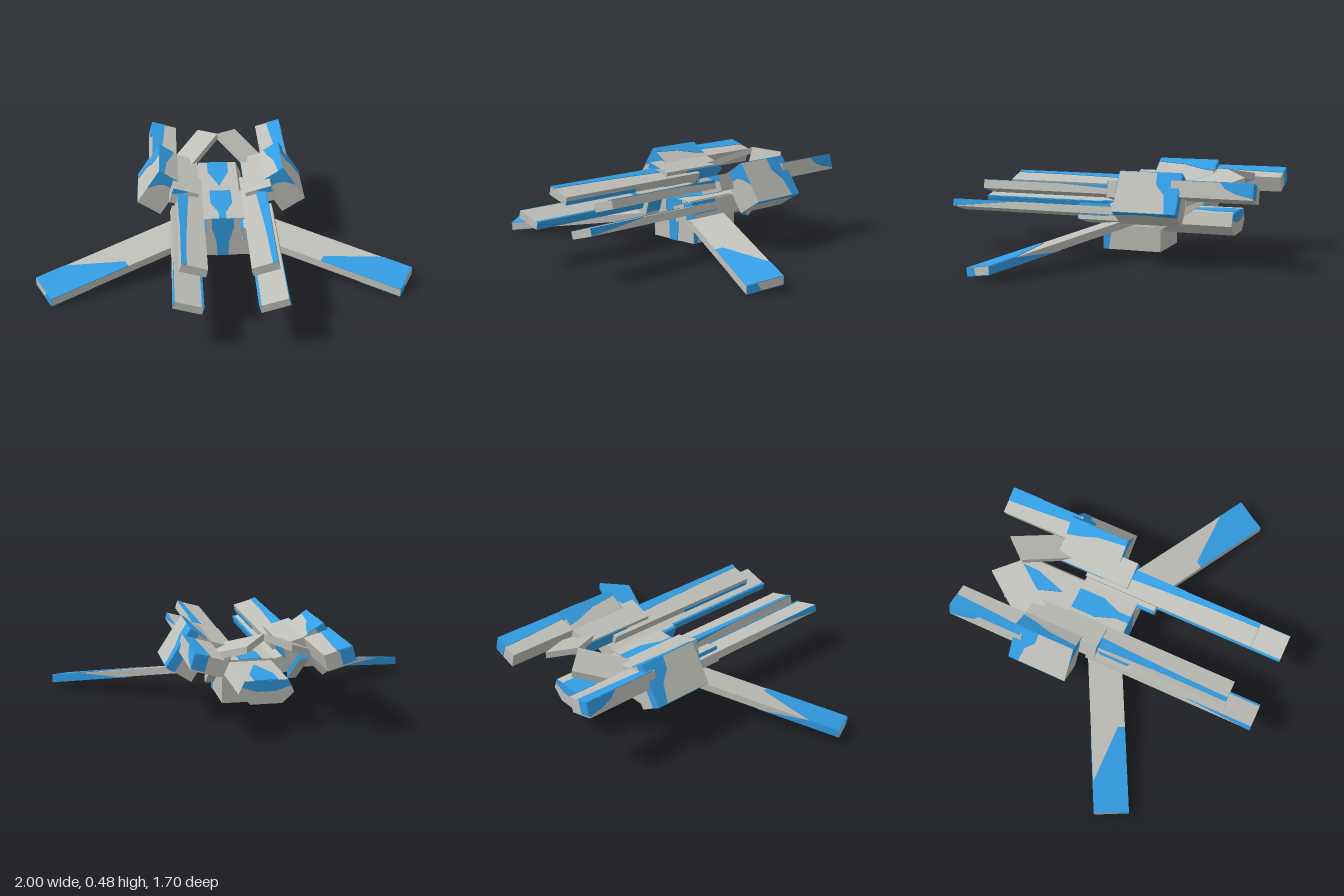
import * as THREE from 'three';

const grey = new THREE.MeshStandardMaterial({ color: 0xc0c0ba });
grey.name = 'hullGrey';
const blue = new THREE.MeshStandardMaterial({ color: 0x339ee4 });
blue.name = 'panelBlue';

// Mirrors a geometry across x and keeps its faces pointing outward.
function mirrored(geometry) {
  const g = geometry.clone().scale(-1, 1, 1);
  const p = g.attributes.position;
  const a = new THREE.Vector3(), b = new THREE.Vector3();
  for (let i = 0; i < p.count; i += 3) {
    a.fromBufferAttribute(p, i + 1);
    b.fromBufferAttribute(p, i + 2);
    p.setXYZ(i + 1, b.x, b.y, b.z);
    p.setXYZ(i + 2, a.x, a.y, a.z);
  }
  g.computeVertexNormals();
  return g;
}

function flat(geometry) {
  const g = geometry.index ? geometry.toNonIndexed() : geometry;
  g.computeVertexNormals();
  return g;
}

// Slab: polygon in (u, v) multiples from an origin, given thickness by vector n.
function slab(points, origin, u, v, n) {
  const [U, V, N] = [u, v, n].map((a) => new THREE.Vector3(...a));
  const swap = U.clone().cross(V).dot(N) < 0;
  const shape = new THREE.Shape(points.map(([a, b]) => (swap ? new THREE.Vector2(b, a) : new THREE.Vector2(a, b))));
  const g = new THREE.ExtrudeGeometry(shape, { depth: 1, bevelEnabled: false });
  const m = new THREE.Matrix4().makeBasis(swap ? V : U, swap ? U : V, N).setPosition(...origin);
  return flat(g.applyMatrix4(m));
}

const X = [1, 0, 0], Y = [0, 1, 0], Z = [0, 0, 1];
const skin = 0.003; // thickness of painted plates
const rect = (u0, u1, v0, v1) => [[u0, v0], [u1, v0], [u1, v1], [u0, v1]];

export function createModel() {
  const model = new THREE.Group();

  const add = (name, geometry, material) => {
    const mesh = new THREE.Mesh(geometry, material);
    mesh.name = name;
    model.add(mesh);
  };
  const pair = (name, geometry, material) => {
    add(name + 'Left', geometry, material);
    add(name + 'Right', mirrored(geometry), material);
  };

  // Long box rolled about z. Painted faces use -1..1 across the section and z along it.
  const bar = (name, [x, y], [w, h], [z0, z1], roll, paint) => {
    const place = (g) => g.rotateZ(roll).translate(x, y, 0);
    const box = new THREE.BoxGeometry(w, h, z1 - z0).translate(0, 0, (z0 + z1) / 2);
    pair(name, flat(place(box)), grey);
    const halfX = [w / 2, 0, 0], halfY = [0, h / 2, 0];
    const faces = {
      Top: [halfY, halfX, Z, [0, skin, 0]],
      Outer: [halfX, halfY, Z, [skin, 0, 0]],
      Inner: [[-w / 2, 0, 0], halfY, Z, [-skin, 0, 0]],
      Front: [[0, 0, z1], halfX, halfY, [0, 0, skin]],
      Back: [[0, 0, z0], halfX, halfY, [0, 0, -skin]],
    };
    for (const [face, points] of paint) {
      pair(`${name}${face}Paint`, flat(place(slab(points, ...faces[face]))), blue);
    }
  };

  // Central body and rear hull
  add('body', slab([[-0.15, 0.03], [0.15, 0.03], [0.15, 0.16], [0.12, 0.26], [-0.12, 0.26], [-0.15, 0.16]],
    [0, 0, -0.3], X, Y, [0, 0, 0.32]), grey);
  add('rearHull', slab([[-0.08, 0.13], [0.08, 0.13], [0.14, 0.185], [0.11, 0.25], [-0.11, 0.25], [-0.14, 0.185]],
    [0, 0, -0.68], X, Y, [0, 0, 0.38]), grey);

  // Painted body stripes
  add('noseStripe', slab([[-0.03, 0.03], [0.03, 0.03], [0.035, 0.12], [0.06, 0.2], [0.06, 0.26],
    [-0.06, 0.26], [-0.06, 0.2], [-0.035, 0.12]], [0, 0, 0.02], X, Y, [0, 0, skin]), blue);
  add('bodyTopStripe', slab([[-0.02, 0.02], [0.02, 0.02], [0.02, -0.05], [0.06, -0.16], [0.06, -0.3],
    [-0.06, -0.3], [-0.06, -0.16], [-0.02, -0.05]], [0, 0.26, 0], X, Z, [0, skin, 0]), blue);
  add('bodyBottomStripe', slab([[-0.04, 0.02], [0.04, 0.02], [0.03, -0.15], [0, -0.28], [-0.03, -0.15]],
    [0, 0.03, 0], X, Z, [0, -skin, 0]), blue);
  add('rearHullStripe', slab([[0, -0.38], [0.06, -0.56], [0.06, -0.68], [-0.06, -0.68], [-0.06, -0.56]],
    [0, 0.25, 0], X, Z, [0, skin, 0]), blue);
  add('rearHullEndPaint', slab([[-0.11, 0.25], [0.11, 0.25], [0.124, 0.22], [0.05, 0.195], [-0.05, 0.195], [-0.124, 0.22]],
    [0, 0, -0.68], X, Y, [0, 0, -skin]), blue);
  pair('bodySidePaint', slab([[0.03, 0.02], [0.03, -0.01], [0.1, -0.02], [0.16, -0.04], [0.16, 0.02]],
    [0.15, 0, 0], Y, Z, [skin, 0, 0]), blue);

  // Long front bars, upper and lower
  const tilt = 0.28;
  bar('upperBar', [0.178, 0.343], [0.136, 0.045], [-0.29, 0.68], tilt, [
    ['Top', [[1, -0.05], [0.2, -0.05], [0.36, 0.15], [0.52, 0.4], [0.6, 0.68], [1, 0.68]]],
    ['Outer', [[1, -0.05], [0.3, -0.05], [0.7, 0.1], [1, 0.25]]],
    ['Inner', rect(-1, 0, 0.2, 0.68)],
  ]);
  bar('lowerBar', [0.21, 0.238], [0.145, 0.04], [-0.11, 0.85], tilt, [
    ['Inner', rect(-1, 1, -0.1, 0.85)],
    ['Top', rect(-1, -0.87, 0.1, 0.85)],
    ['Outer', [[1, 0.48], [-0.3, 0.72], [-1, 0.85], [1, 0.85]]],
  ]);

  // Short blocks that hold the bars
  bar('upperMount', [0.207, 0.353], [0.146, 0.088], [-0.475, -0.05], tilt, [
    ['Inner', rect(-0.8, 0.8, -0.475, -0.2)],
    ['Front', [[-0.2, 1], [1, 1], [1, 0.2], [0.4, 0.45]]],
  ]);
  bar('lowerMount', [0.178, 0.225], [0.146, 0.088], [-0.3, 0.12], tilt, [
    ['Inner', rect(-0.6, 1, -0.05, 0.12)],
    ['Top', rect(-1, -0.82, 0, 0.12)],
    ['Outer', rect(-0.5, 1, -0.05, 0.12)],
    ['Front', rect(0.15, 1, -1, 1)],
  ]);

  // Large side blocks, painted at the ridge and the rear
  bar('sideBlock', [0.34, 0.34], [0.227, 0.148], [-0.475, -0.145], -0.99, [
    ['Top', [[-1, -0.345], [-0.4, -0.35], [0.1, -0.4], [1, -0.42], [1, -0.475], [-1, -0.475]]],
    ['Inner', [[1, -0.145], [0.55, -0.145], [0.35, -0.3], [-0.1, -0.4], [-0.3, -0.475], [1, -0.475]]],
    ['Outer', [[1, -0.145], [0.5, -0.145], [0.7, -0.3], [0.5, -0.475], [1, -0.475]]],
    ['Front', [[-1, -0.8], [-1, 1], [0.1, 1], [-0.3, 0.5], [-0.5, 0], [-0.5, -1], [-0.8, -1]]],
    ['Back', rect(-1, 1, 0.35, 1)],
  ]);

  // Rear pods
  bar('rearPod', [0.32, 0.385], [0.144, 0.083], [-0.85, -0.43], tilt, [
    ['Outer', [[1, -0.68], [0.2, -0.71], [-0.4, -0.77], [-0.8, -0.85], [1, -0.85]]],
    ['Top', [[1, -0.85], [-0.05, -0.85], [0.1, -0.65], [0.3, -0.44], [1, -0.44]]],
    ['Back', rect(0.1, 1, -0.8, 1)],
  ]);

  // Swept front wings, with blue plates around the tips
  const root = [0.1, 0.2, -0.19], span = [0.9, -0.145, 0.47], chord = [-0.09, -0.035, 0.16];
  const wing = (name, points, lift, thickness, material) => pair(name,
    slab(points, [root[0], root[1] + lift, root[2]], span, chord, [0, thickness, 0]), material);
  wing('wing', rect(0, 1, 0, 1), -0.02, 0.04, grey);
  wing('wingTipTop', [[0.84, 0], [0.56, 0.79], [0.56, 1], [1, 1], [1, 0]], 0.02, skin, blue);
  wing('wingTipBottom', [[0.56, 0], [0.56, 0.5], [0.78, 1], [1, 1], [1, 0]], -0.02, -skin, blue);
  pair('wingTrailingPaint', slab([[0.6, -0.02], [0.84, 0.02], [1, 0.02], [1, -0.02]],
    root, span, Y, [0.0014, 0, -skin]), blue);
  const tip = root.map((r, i) => r + span[i]);
  pair('wingEndPaint', slab([[0.6, -0.02], [0.7, 0.02], [1, 0.02], [1, -0.02]],
    tip, chord, Y, [skin, 0, 0.0015]), blue);

  // Peaked rear panels, meeting above the rear hull
  const peak = (name, points, y, thickness, material) => pair(name,
    slab(points, [0, y, -0.615], [0.185, -0.102, 0.26], [0.11, -0.03, -0.125], [0, thickness, 0]), material);
  peak('peakPanel', rect(0, 1, 0, 1), 0.434, 0.036, grey);
  peak('peakPanelPaint', [[0.93, 0], [1, 0], [1, 0.3]], 0.47, skin, blue);

  // Slanted struts joining the rear pods to the hull
  const strut = new THREE.BoxGeometry(0.045, 0.035, 0.31);
  strut.rotateX(0.58).translate(0.22, 0.25, -0.43);
  pair('rearStrut', flat(strut), [grey, blue, blue, grey, blue, blue]);

  return model;
}
